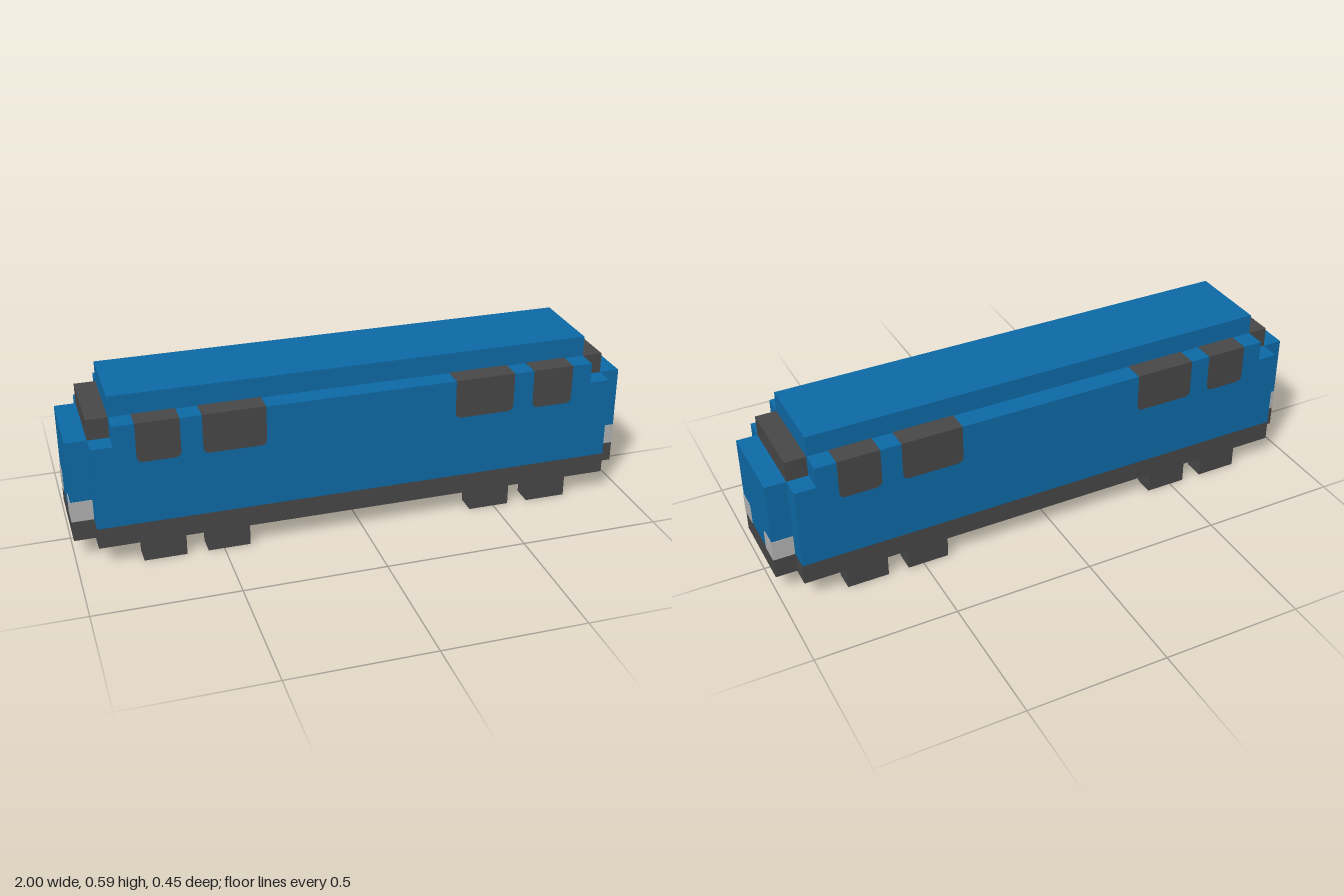
import * as THREE from 'three';

const U = 2 / 27;   // one modelling unit
const T = 0.002;    // thickness of painted plates

export function createModel() {
  const model = new THREE.Group();
  model.name = 'railcar';

  const material = (name, color) => {
    const m = new THREE.MeshStandardMaterial({ color });
    m.name = name;
    return m;
  };
  const blue = material('blue paint', 0x0d69a5);
  const dark = material('dark grey', 0x474747);
  const pale = material('light grey', 0xb2b2b2);

  const add = (name, geometry, mat) => {
    const mesh = new THREE.Mesh(geometry, mat);
    mesh.name = name;
    model.add(mesh);
    return mesh;
  };

  // Box given by its ranges along each axis, in units
  const box = (name, mat, x0, x1, y0, y1, z0, z1) => {
    const g = new THREE.BoxGeometry(Math.abs(x1 - x0) * U, (y1 - y0) * U, Math.abs(z1 - z0) * U);
    g.translate((x0 + x1) / 2 * U, (y0 + y1) / 2 * U, (z0 + z1) / 2 * U);
    return add(name, g, mat);
  };

  // Floor plan with a narrower nose at each end, extruded upwards
  const plan = new THREE.Shape([
    [13.5, -2], [13.5, 2], [12.5, 2], [12.5, 3], [-12.5, 3], [-12.5, 2],
    [-13.5, 2], [-13.5, -2], [-12.5, -2], [-12.5, -3], [12.5, -3], [12.5, -2],
  ].map(([x, z]) => new THREE.Vector2(x * U, z * U)));
  const planBlock = (name, mat, y0, y1) => {
    const g = new THREE.ExtrudeGeometry(plan, { depth: (y1 - y0) * U, bevelEnabled: false });
    g.rotateX(-Math.PI / 2);
    g.translate(0, y0 * U, 0);
    add(name, g, mat);
  };

  planBlock('skirt', dark, 1, 2);
  planBlock('lowerBody', blue, 2, 6);
  box('upperBody', blue, -11.5, 11.5, 6, 7, -3, 3);
  box('roof', blue, -11.5, 11.5, 7, 8, -2, 2);

  // Window outline: square at the top, rounded at the bottom
  const windowShape = (x0, x1) => {
    const a = x0 * U, b = x1 * U, lo = 5.1 * U, hi = 7 * U + T, r = 0.022;
    const s = new THREE.Shape();
    s.moveTo(a, hi);
    s.lineTo(a, lo + r);
    s.quadraticCurveTo(a, lo, a + r, lo);
    s.lineTo(b - r, lo);
    s.quadraticCurveTo(b, lo, b, lo + r);
    s.lineTo(b, hi);
    s.closePath();
    return s;
  };
  const plate = (shape) => new THREE.ExtrudeGeometry(shape, { depth: T, bevelEnabled: false, curveSegments: 4 });

  // Headlight outline with a small notch at its upper inner corner
  const lightShape = (k) => new THREE.Shape([
    [2, 2], [2, 3], [1.1, 3], [1.1, 2.93], [1, 2.93], [1, 2],
  ].map(([u, y]) => new THREE.Vector2(k * u * U, y * U)));

  for (const sx of [-1, 1]) {
    box('windscreen', dark, sx * 11.5, sx * 12.5, 6, 7, -2, 2);

    for (const sz of [-1, 1]) {
      // Wheel blocks
      for (const [a, b] of [[5.5, 7.5], [8.5, 10.5]]) {
        box('wheelBlock', dark, sx * a, sx * b, 0, 1, sz * 2, sz * 3);
      }

      // Side windows that fold over onto the top ledge
      for (const [a, b] of [[4.57, 7.5], [8.5, 10.5]]) {
        const pane = plate(windowShape(a, b));
        if (sz < 0) pane.rotateY(Math.PI);
        const back = sx * sz < 0;
        pane.translate((back ? -1 : 0) * sz * (a + b) * U, 0, sz * 3 * U);
        add('sideWindow', pane, dark);
        box('windowTop', dark, sx * a, sx * b, 7, 7 + T / U, sz * 2, sz * 3);
      }

      // Headlights wrapping round the corners of the nose
      const lamp = plate(lightShape(-sx * sz));
      lamp.rotateY(sx * Math.PI / 2);
      lamp.translate(sx * 13.5 * U, 0, 0);
      add('headlight', lamp, pale);
      box('headlightSide', pale, sx * 12.5, sx * 13.5, 2, 3, sz * 2, sz * (2 + T / U));
    }
  }
  return model;
}
